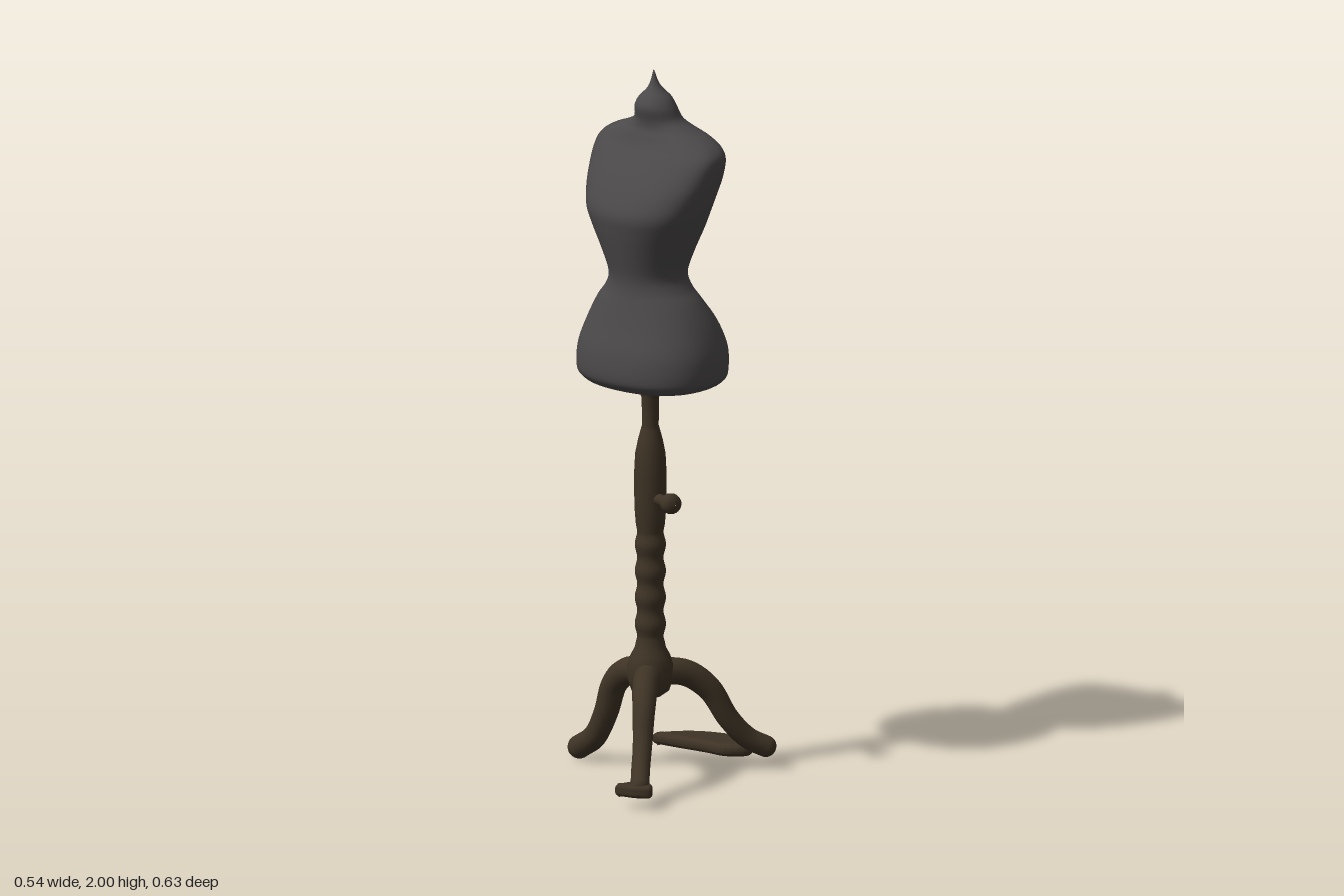
import * as THREE from 'three';

const fabric = new THREE.MeshStandardMaterial({ color: 0x4b4849 });
fabric.name = 'charcoalFabric';
const wood = new THREE.MeshStandardMaterial({ color: 0x3e3325 });
wood.name = 'darkWood';

const AXIS_X = 0.04, AXIS_Z = -0.005;
const smooth = THREE.MathUtils.smoothstep;

function add(group, name, geometry) {
  const mesh = new THREE.Mesh(geometry, name === 'torso' ? fabric : wood);
  mesh.name = name;
  group.add(mesh);
  return mesh;
}

function lathe(profile, sides) {
  return new THREE.LatheGeometry(profile.map(([r, y]) => new THREE.Vector2(r, y)), sides);
}

// Torso sections: height, half width, back z, front z
const torsoRows = [
  [1.105, 0.01, -0.02, 0.01],
  [1.12, 0.16, -0.145, 0.115],
  [1.14, 0.208, -0.186, 0.15],
  [1.17, 0.219, -0.196, 0.16],
  [1.23, 0.215, -0.195, 0.154],
  [1.3, 0.19, -0.17, 0.132],
  [1.36, 0.156, -0.132, 0.115],
  [1.4, 0.124, -0.112, 0.106],
  [1.44, 0.111, -0.105, 0.106],
  [1.5, 0.131, -0.118, 0.12],
  [1.57, 0.162, -0.137, 0.137],
  [1.62, 0.182, -0.146, 0.143],
  [1.67, 0.199, -0.153, 0.122],
  [1.72, 0.212, -0.16, 0.09],
  [1.77, 0.217, -0.158, 0.052],
  [1.8, 0.2, -0.148, 0.03],
  [1.825, 0.159, -0.134, 0.018],
  [1.843, 0.112, -0.12, 0.011],
  [1.865, 0.073, -0.104, 0.012],
  [1.9, 0.06, -0.09, 0.02],
  [1.925, 0.046, -0.08, 0.009],
  [1.945, 0.025, -0.062, -0.012],
  [1.965, 0.012, -0.048, -0.024],
  [2.0, 0.001, -0.036, -0.034],
];

// Smooth skin over the interpolated sections; chest squarer and slightly turned
function torsoGeometry(sides = 56, rings = 110) {
  const sizes = new THREE.CatmullRomCurve3(
    torsoRows.map(r => new THREE.Vector3(r[1], r[2], r[3])), false, 'catmullrom', 0.5);
  const heights = new THREE.CatmullRomCurve3(
    torsoRows.map(r => new THREE.Vector3(0, r[0], 0)), false, 'catmullrom', 0.5);
  const pos = [], idx = [];
  for (let i = 0; i <= rings; i++) {
    const y = heights.getPoint(i / rings).y, size = sizes.getPoint(i / rings);
    const chest = smooth(y, 1.44, 1.72) * (1 - smooth(y, 1.77, 1.86));
    const hip = 1 - smooth(y, 1.22, 1.42);
    const power = 2 / (2 + 0.6 * chest + 0.3 * hip);
    const turn = 0.09 * chest + 0.03 * hip;
    const cx = 0.037 - 0.009 * smooth(y, 1.85, 2);
    const cz = (size.y + size.z) / 2, rz = (size.z - size.y) / 2;
    for (let j = 0; j < sides; j++) {
      const ang = j / sides * Math.PI * 2, c = Math.cos(ang), s = Math.sin(ang);
      const x = size.x * Math.sign(c) * Math.abs(c) ** power;
      const z = rz * Math.sign(s) * Math.abs(s) ** power;
      pos.push(cx + x, y, cz + z + x * turn);
      if (i < rings) {
        const k = i * sides + j, n = i * sides + (j + 1) % sides;
        idx.push(k, k + sides, n, n, k + sides, n + sides);
      }
    }
  }
  const g = new THREE.BufferGeometry();
  g.setAttribute('position', new THREE.Float32BufferAttribute(pos, 3));
  g.setIndex(idx);
  g.computeVertexNormals();
  return g;
}

// Round leg along a curve, tapering from the hub and closed by a ball
function leg(group, name, points, startRadius, endRadius) {
  const curve = new THREE.CatmullRomCurve3(points.map(p => new THREE.Vector3(...p)));
  const seg = 32, sides = 16;
  const g = new THREE.TubeGeometry(curve, seg, 1, sides, false);
  const p = g.attributes.position, v = new THREE.Vector3();
  for (let i = 0; i < p.count; i++) {
    const t = Math.floor(i / (sides + 1)) / seg, c = curve.getPointAt(t);
    const r = THREE.MathUtils.lerp(startRadius, endRadius, smooth(t, 0, 0.8));
    v.fromBufferAttribute(p, i).sub(c).multiplyScalar(r).add(c);
    p.setXYZ(i, v.x, v.y, v.z);
  }
  add(group, name, g);
  const end = add(group, name + 'End', new THREE.SphereGeometry(endRadius, 16, 12));
  end.position.set(...points.at(-1));
}

// Flat foot with a rounded rim, outlined in x and z
function foot(group, name, outline, bevel) {
  const pts = outline.map(([x, z]) => new THREE.Vector2(x, -z));
  const shape = new THREE.Shape(new THREE.SplineCurve([...pts, pts[0]]).getPoints(40).slice(0, -1));
  const g = new THREE.ExtrudeGeometry(shape, {
    depth: 0.036 - 2 * bevel, bevelEnabled: true, bevelSize: bevel,
    bevelOffset: -bevel, bevelThickness: bevel, bevelSegments: 4,
  });
  g.rotateX(-Math.PI / 2).translate(0, 0.034 + bevel, 0);
  add(group, name, g);
}

export function createModel() {
  const model = new THREE.Group();
  model.name = 'dressForm';
  add(model, 'torso', torsoGeometry());

  // Turned pole: hub, four beads, grip and thin neck
  const hub = [[0.001, 0.232], [0.03, 0.234], [0.052, 0.25], [0.062, 0.28], [0.064, 0.32],
    [0.054, 0.35], [0.043, 0.37], [0.04, 0.385]];
  const beads = Array.from({ length: 37 }, (_, i) =>
    [0.0395 - 0.0035 * Math.cos(i / 36 * Math.PI * 8), 0.4 + i * 0.3 / 36]);
  const grip = [[0.04, 0.72], [0.044, 0.77], [0.045, 0.86], [0.042, 0.92], [0.034, 0.96],
    [0.026, 0.99], [0.023, 1.0], [0.024, 1.08], [0.034, 1.1], [0.036, 1.115]];
  const pole = add(model, 'pole', lathe([...hub, ...beads, ...grip], 32));
  pole.position.set(AXIS_X, 0, AXIS_Z);

  // Height knob
  const knob = add(model, 'heightKnob', lathe([[0.016, 0], [0.016, 0.06], [0.018, 0.075],
    [0.026, 0.09], [0.029, 0.105], [0.026, 0.118], [0.015, 0.126], [0.001, 0.128]], 20));
  knob.position.set(AXIS_X, 0.797, AXIS_Z);
  knob.quaternion.setFromUnitVectors(new THREE.Vector3(0, 1, 0),
    new THREE.Vector3(0.12, 0.004, 0.04).normalize());

  // Right leg, then the front and back legs mirrored across the pole
  leg(model, 'rightLeg', [[0.04, 0.3, -0.005], [-0.04, 0.29, -0.01], [-0.095, 0.245, -0.018],
    [-0.135, 0.15, -0.027], [-0.18, 0.075, -0.034], [-0.238, 0.035, -0.04]], 0.039, 0.033);
  for (const [name, side, radius] of [['frontLeg', 1, 0.026], ['backLeg', -1, 0.03]]) {
    const path = [[0.04, 0.3, 0], [0.092, 0.29, 0.085], [0.132, 0.24, 0.142],
      [0.164, 0.15, 0.188], [0.195, 0.09, 0.235], [0.225, 0.064, 0.274]];
    leg(model, name, path.map(([x, y, z]) => [x, y, AXIS_Z + side * z]), 0.039, radius);
  }

  // Flared front foot and broad leaf-shaped back foot
  foot(model, 'frontFoot', [[0.172, 0.312], [0.178, 0.275], [0.195, 0.245], [0.235, 0.236],
    [0.268, 0.272], [0.24, 0.298], [0.205, 0.308]], 0.012);
  foot(model, 'backFoot', [[-0.1, -0.186], [-0.075, -0.23], [-0.03, -0.275], [0.03, -0.304],
    [0.09, -0.314], [0.14, -0.302], [0.185, -0.275], [0.19, -0.24], [0.14, -0.2],
    [0.07, -0.198], [-0.02, -0.19]], 0.016);
  return model;
}
